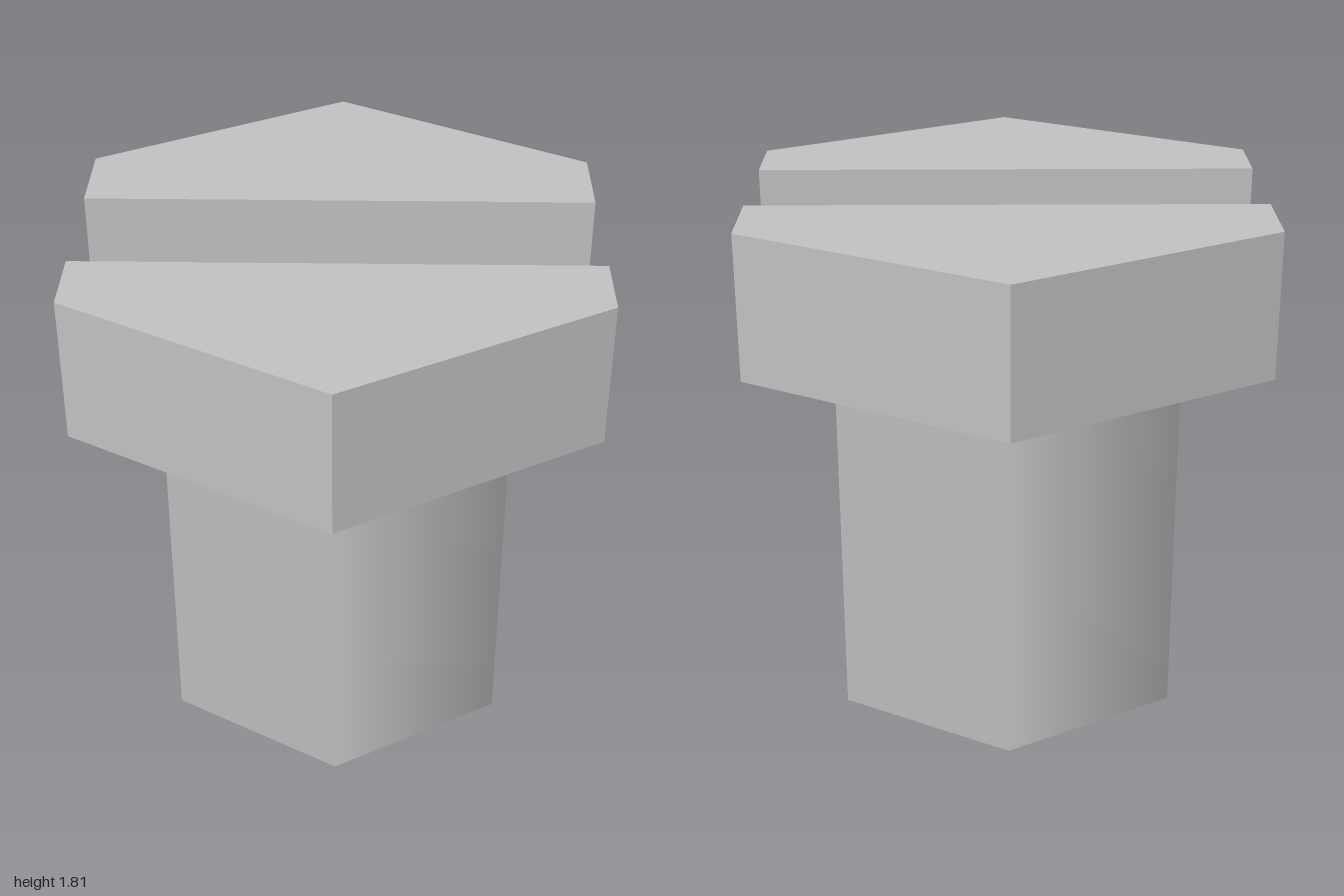
import * as THREE from 'three';

const BASE = 1.31, FLOOR = 1.5, TOP = 1.81; // head underside, slot floor, head top
const SLOT_BACK = -0.195, SLOT_FRONT = 0.24;
const W = Math.sqrt(3) / 2; // half width across the flats

// Extrude an outline given as [x, z] pairs upward from y0 to y1
function prism(name, points, y0, y1, material) {
  const shape = new THREE.Shape(points.map(([x, z]) => new THREE.Vector2(x, -z)));
  const geometry = new THREE.ExtrudeGeometry(shape, { depth: y1 - y0, bevelEnabled: false });
  geometry.rotateX(-Math.PI / 2);
  geometry.translate(0, y0, 0);
  const mesh = new THREE.Mesh(geometry, material);
  mesh.name = name;
  return mesh;
}

export function createModel() {
  const model = new THREE.Group();
  model.name = 'slottedHexBolt';
  const steel = new THREE.MeshStandardMaterial({ color: 0xc0c0c0 });
  steel.name = 'steel grey';

  // Six-sided shank with smooth side normals
  const shank = new THREE.Mesh(new THREE.CylinderGeometry(0.667, 0.667, BASE, 6), steel);
  shank.position.y = BASE / 2;
  shank.name = 'shank';

  // Hexagonal head: solid base below the slot, one block on each side of it
  const head = new THREE.Group();
  head.name = 'head';
  const hexagon = [[0, 1], [W, 0.5], [W, -0.5], [0, -1], [-W, -0.5], [-W, 0.5]];
  head.add(prism('headBase', hexagon, BASE, FLOOR, steel));
  for (const [name, side, edge] of [['headFront', 1, SLOT_FRONT], ['headBack', -1, SLOT_BACK]]) {
    const outline = [[-W, edge], [W, edge], [W, 0.5 * side], [0, side], [-W, 0.5 * side]];
    head.add(prism(name, outline, FLOOR, TOP, steel));
  }

  model.add(shank, head);
  return model;
}
